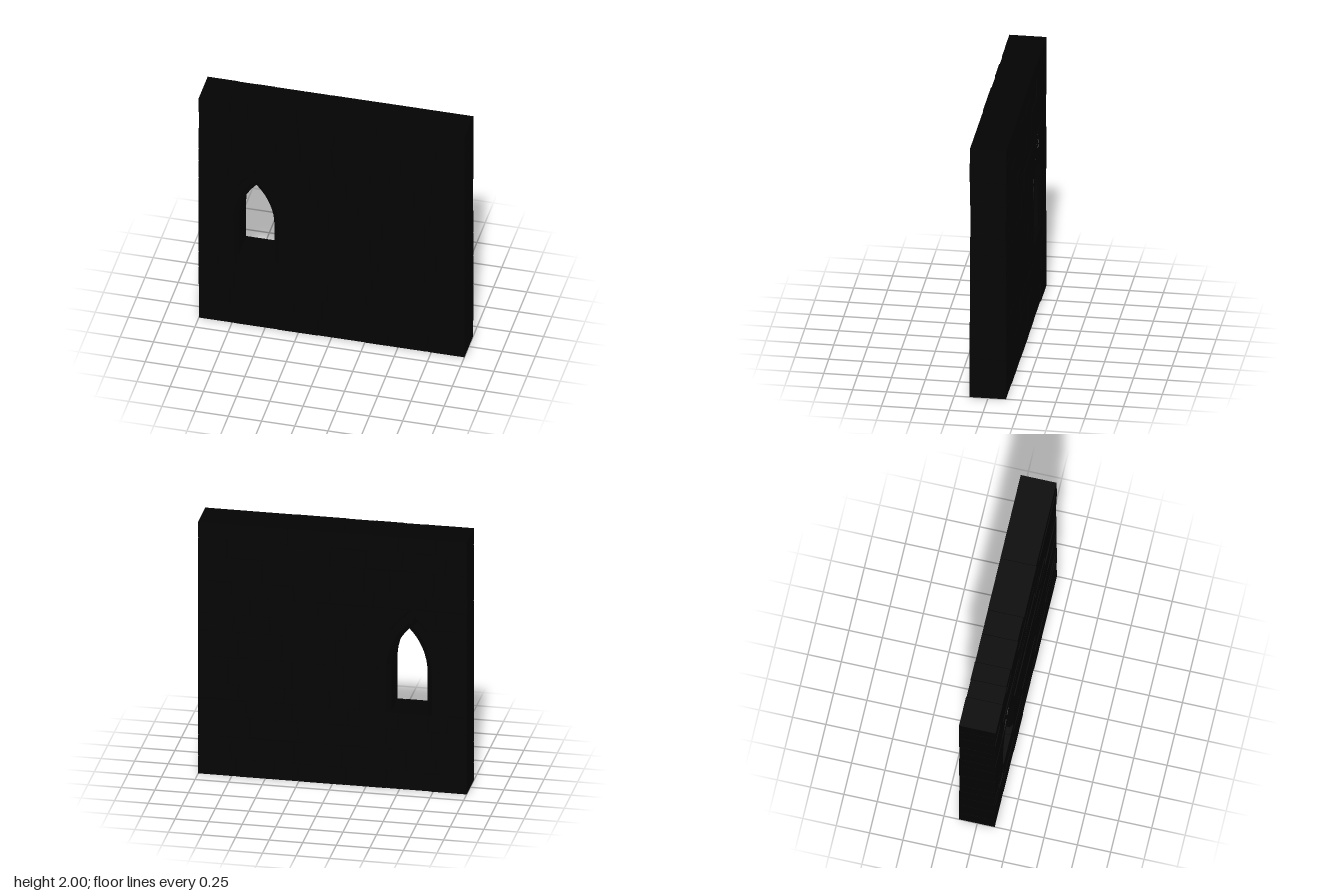
import * as THREE from 'three';

const GAP = 0.003;      // open joint between stones
const DEPTH = 0.134;    // half thickness of the wall
const WX = -0.57;       // window centre line
const HALF = 0.135;     // half width of the opening
const CHAMFER = 0.035;  // width of the chamfer around the opening
const SILL = 0.605, SPRING = 0.94;

// Course heights and the upright joints in each course
const LEVELS = [0, 0.14, 0.31, 0.47, 0.605, 0.73, 0.94, 1.145, 1.28, 1.43, 1.54, 1.73, 1.875, 2];
const JOINTS = [
  [-0.72, -0.4, -0.1, 0.255, 0.43, 0.72],
  [-0.77, -0.55, -0.28, -0.07, 0.29, 0.76],
  [-0.74, -0.4, -0.03, 0.26, 0.62],
  [-0.86, -0.715, -0.49, -0.12, 0.3, 0.65],
  [-0.2, 0.02, 0.355, 0.7],
  [-0.08, 0.295, 0.64, 0.78],
  [-0.02, 0.38, 0.7],
  [-0.1, 0.205, 0.47, 0.74],
  [-0.775, -0.165, 0.11, 0.615, 0.83],
  [-0.7, -0.305, 0.02, 0.29, 0.435, 0.75],
  [-0.75, -0.425, -0.235, 0, 0.52],
  [-0.84, -0.52, -0.25, 0.015, 0.42, 0.785],
  [-0.77, -0.63, -0.49, -0.265, -0.075, 0.335],
];
// Half width of the gap left for the arch stones, at the level of each course
const ARCH_CUT = { 0.94: 0.235, 1.145: 0.19, 1.28: 0.125, 1.43: 0 };

export function createModel() {
  const model = new THREE.Group();
  model.name = 'stoneWall';
  const material = new THREE.MeshStandardMaterial({ color: 0x030303, flatShading: true });

  let seed = 7;
  const random = () => (seed = (seed * 16807) % 2147483647) / 2147483647;

  const add = (geometry, name, parent) => {
    const mesh = new THREE.Mesh(geometry, material);
    mesh.name = name;
    parent.add(mesh);
    return mesh;
  };

  // A stone from its front outline; each one stands a little prouder or deeper
  function stone(points, parent, name = 'stone') {
    const front = DEPTH + (random() - 0.5) * 0.007;
    const back = DEPTH + (random() - 0.5) * 0.007;
    const shape = new THREE.Shape(points.map(([x, y]) => new THREE.Vector2(x, y)));
    const geometry = new THREE.ExtrudeGeometry(shape, { depth: front + back, bevelEnabled: false });
    add(geometry.translate(0, 0, -back), name, parent);
  }

  // A stone beside the opening, chamfered on both faces; side -1 is the -x side
  function jambStone(xFar, y0, y1, side, parent) {
    const d = DEPTH, m = d - 0.02;
    const near = WX + side * HALF, chamfer = near + side * CHAMFER;
    const plan = [[xFar, -d], [chamfer, -d], [near, -m], [near, m], [chamfer, d], [xFar, d]];
    const shape = new THREE.Shape(plan.map(([x, z]) => new THREE.Vector2(x, -z)));
    const geometry = new THREE.ExtrudeGeometry(shape, { depth: y1 - y0, bevelEnabled: false });
    geometry.rotateX(-Math.PI / 2).translate(0, y0, 0);
    add(geometry, 'jambStone', parent);
  }

  // Courses of stone, interrupted by the window
  JOINTS.forEach((joints, i) => {
    const course = new THREE.Group();
    course.name = 'course' + (i + 1);
    model.add(course);
    const low = LEVELS[i], high = LEVELS[i + 1];
    const y0 = low + (i ? GAP / 2 : 0), y1 = high - (high < 2 ? GAP / 2 : 0);
    const jamb = low >= SILL && high <= SPRING;
    const arch = low >= SPRING && high <= 1.43;
    const row = (from, to) => {
      const xs = [from, ...joints.filter((x) => x > from && x < to), to];
      for (let k = 0; k + 1 < xs.length; k++) {
        const a = xs[k] + (xs[k] > -1 ? GAP / 2 : 0);
        const b = xs[k + 1] - (xs[k + 1] < 1 ? GAP / 2 : 0);
        stone([[a, y0], [b, y0], [b, y1], [a, y1]], course);
      }
    };
    if (jamb) {
      const rightEnd = joints[0];
      jambStone(-1, y0, y1, -1, course);
      jambStone(rightEnd - GAP / 2, y0, y1, 1, course);
      row(rightEnd, 1);
    } else if (arch) {
      const w0 = ARCH_CUT[low], w1 = ARCH_CUT[high];
      const inner = joints.filter((x) => x < WX - w0);
      const left = inner.length ? inner[0] : -1;
      const right = joints.find((x) => x > WX + w0);
      if (left > -1) row(-1, left);
      const a = left + (left > -1 ? GAP / 2 : 0), b = right - GAP / 2;
      stone([[a, y0], [WX - w0, y0], [WX - w1, y1], [a, y1]], course);
      stone([[WX + w0, y0], [b, y0], [b, y1], [WX + w1, y1]], course);
      row(right, 1);
    } else row(-1, 1);
  });

  // Arch stones: a chamfered section carried along each side of the pointed arch
  const OFFSET = 0.348, RADIUS = OFFSET + HALF, THICK = 0.094;
  const APEX = Math.acos(OFFSET / RADIUS);
  const D = DEPTH + 0.002;
  const section = [[0, -D + 0.02], [0, D - 0.02], [CHAMFER, D], [THICK, D], [THICK, -D], [CHAMFER, -D]];

  // Inner and outer ends of the section at an angle, for the +x side
  const cut = (angle) => [RADIUS, RADIUS + THICK].map((r) =>
    [r * Math.cos(angle) - OFFSET, SPRING + r * Math.sin(angle)]);

  function archStone(cuts, side, parent) {
    const rings = cuts.map(([p, q]) => section.map(([o, z]) => {
      const t = o / THICK;
      return [WX + side * (p[0] + (q[0] - p[0]) * t), p[1] + (q[1] - p[1]) * t, z];
    }));
    const position = [];
    const tri = (a, b, c) => position.push(...a, ...(side > 0 ? [...b, ...c] : [...c, ...b]));
    const n = section.length, last = rings[rings.length - 1];
    for (let i = 0; i + 1 < rings.length; i++) {
      for (let j = 0; j < n; j++) {
        const k = (j + 1) % n;
        tri(rings[i][j], rings[i][k], rings[i + 1][k]);
        tri(rings[i][j], rings[i + 1][k], rings[i + 1][j]);
      }
    }
    for (let j = 1; j + 1 < n; j++) {
      tri(rings[0][0], rings[0][j + 1], rings[0][j]);
      tri(last[0], last[j], last[j + 1]);
    }
    const geometry = new THREE.BufferGeometry();
    geometry.setAttribute('position', new THREE.Float32BufferAttribute(position, 3));
    geometry.computeVertexNormals();
    add(geometry, 'archStone', parent);
  }

  const windowArch = new THREE.Group();
  windowArch.name = 'windowArch';
  model.add(windowArch);
  const span = (from, to) => Array.from({ length: 6 }, (_, i) => cut(from + (to - from) * i / 5));
  const split = 0.47;
  for (const side of [-1, 1]) {
    archStone(span(0.003, split - 0.002), side, windowArch);
    const upper = span(split + 0.002, APEX);
    // The stone on the +x side closes the point of the arch
    if (side > 0) {
      const tip = cut(APEX)[0];
      upper.push([tip, [0, 1.412]], [tip, [-0.045, 1.375]]);
    }
    archStone(upper, side, windowArch);
  }

  return model;
}
